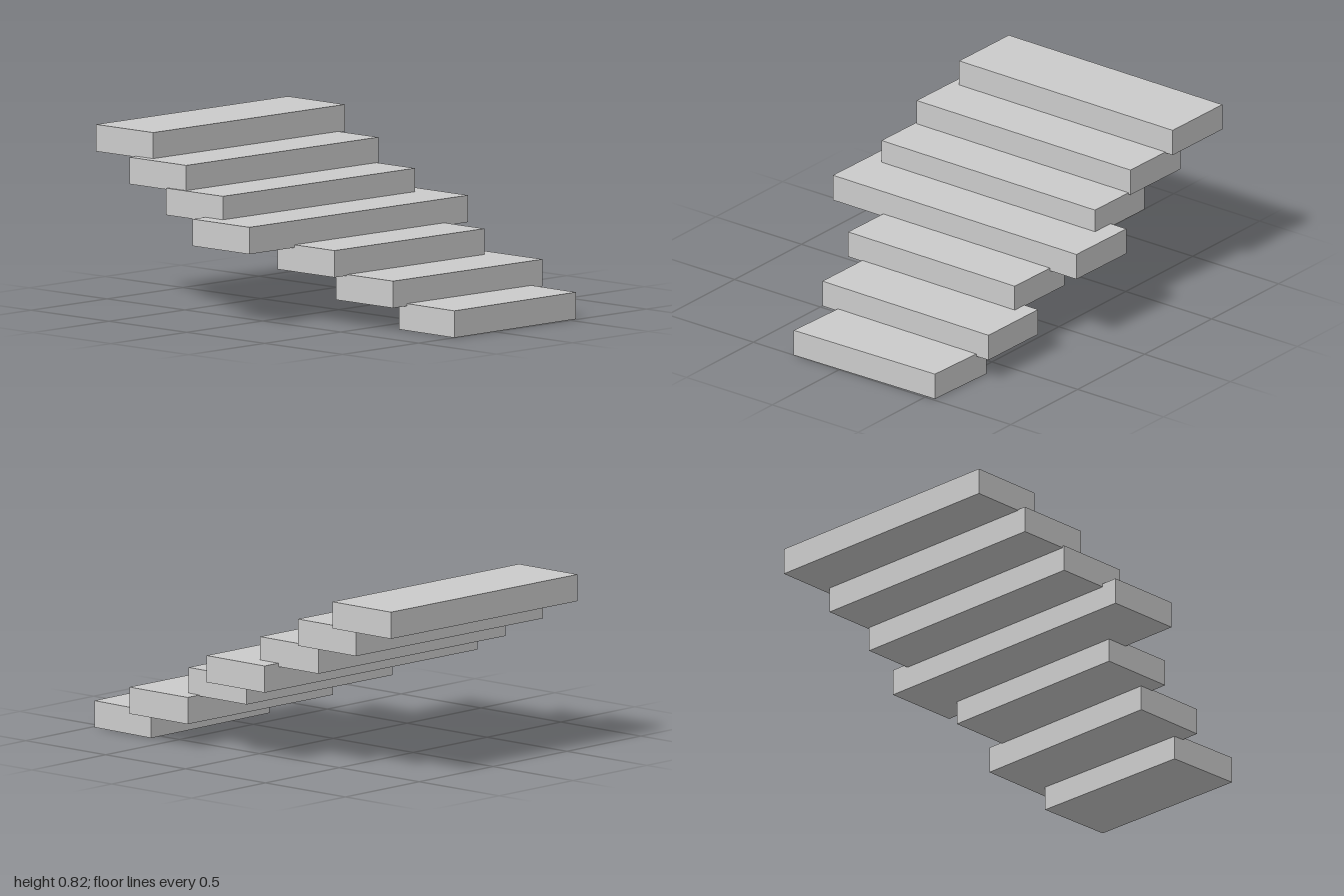
import * as THREE from 'three';

const THICKNESS = 0.125;
const DEPTH = 0.368;

// Each step: left and right ends, centre z, top height, and the slight skews dz/dx and dx/dz
const STEPS = [
  { x0: -0.258, x1: 0.555, z: 0.81, top: 0.127, dzdx: -0.015, dxdz: -0.037 },
  { x0: -0.343, x1: 0.632, z: 0.505, top: 0.239, dzdx: 0.009, dxdz: -0.006 },
  { x0: -0.424, x1: 0.554, z: 0.208, top: 0.359, dzdx: 0.009, dxdz: -0.01 },
  { x0: -0.716, x1: 0.712, z: -0.052, top: 0.471, dzdx: 0.008, dxdz: -0.012 },
  { x0: -0.631, x1: 0.622, z: -0.305, top: 0.58, dzdx: 0.009, dxdz: -0.008 },
  { x0: -0.619, x1: 0.635, z: -0.553, top: 0.697, dzdx: 0.008, dxdz: -0.01 },
  { x0: -0.573, x1: 0.679, z: -0.811, top: 0.818, dzdx: 0.008, dxdz: -0.006 },
];

export function createModel() {
  const group = new THREE.Group();
  group.name = 'staircase';
  const material = new THREE.MeshStandardMaterial({ color: 0xcccccc, flatShading: true });

  STEPS.forEach(({ x0, x1, z, top, dzdx, dxdz }, i) => {
    // Slab, skewed slightly in plan
    const geometry = new THREE.BoxGeometry(x1 - x0, THICKNESS, DEPTH);
    const p = geometry.attributes.position;
    for (let v = 0; v < p.count; v++) {
      const px = p.getX(v), pz = p.getZ(v);
      p.setX(v, px + dxdz * pz);
      p.setZ(v, pz + dzdx * px);
    }
    geometry.computeVertexNormals();

    const step = new THREE.Mesh(geometry, material);
    step.name = `step${i + 1}`;
    step.position.set((x0 + x1) / 2, top - THICKNESS / 2, z);
    group.add(step);
  });

  // Rest the lowest step on the ground
  group.children[0].position.y = THICKNESS / 2;
  return group;
}
